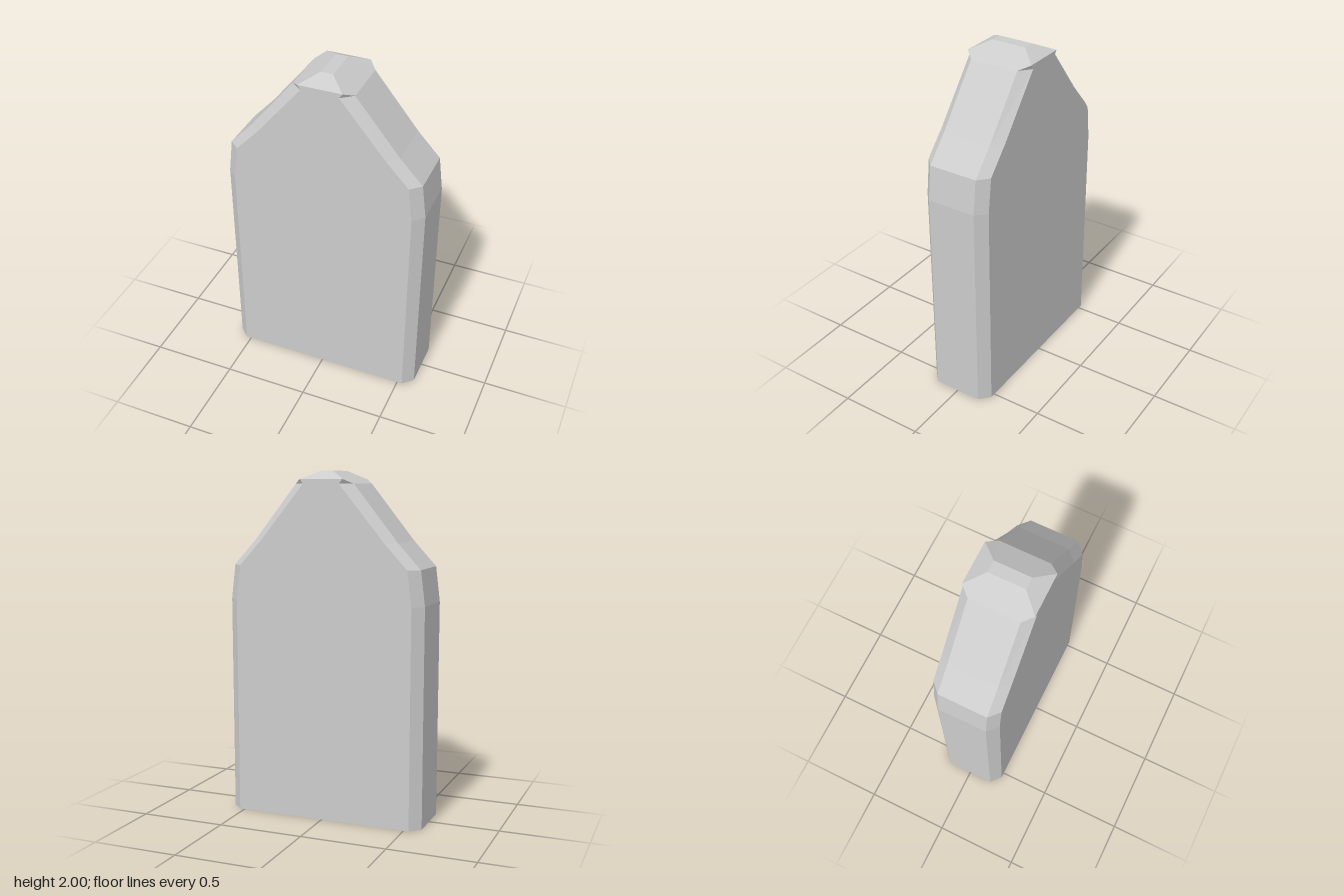
import * as THREE from 'three';

const DEPTH = 0.2, SIDE_DEPTH = 0.145;

// Eight-cornered section: inner corners edge the front/back faces, outer corners edge the sides
function section([outerX, outerY, innerX, innerY = outerY, innerZ = DEPTH, outerZ = SIDE_DEPTH]) {
  return [
    [innerX, innerY, innerZ], [outerX, outerY, outerZ],
    [outerX, outerY, -outerZ], [innerX, innerY, -innerZ],
    [-innerX, innerY, -innerZ], [-outerX, outerY, -outerZ],
    [-outerX, outerY, outerZ], [-innerX, innerY, innerZ],
  ].map((p) => new THREE.Vector3(...p));
}

// Skin the sections with flat faces and close both ends
function loft(sections) {
  const positions = [];
  const triangle = (a, b, c) => {
    if (new THREE.Triangle(a, b, c).getArea() < 1e-7) return;
    for (const p of [a, b, c]) positions.push(p.x, p.y, p.z);
  };
  for (let s = 0; s < sections.length - 1; s++) {
    const low = sections[s], high = sections[s + 1];
    for (let i = 0; i < 8; i++) {
      const j = (i + 1) % 8;
      triangle(low[i], low[j], high[j]);
      triangle(low[i], high[j], high[i]);
    }
  }
  const bottom = sections[0], top = sections[sections.length - 1];
  for (let i = 1; i < 7; i++) {
    triangle(bottom[0], bottom[i + 1], bottom[i]);
    triangle(top[0], top[i], top[i + 1]);
  }
  const geometry = new THREE.BufferGeometry();
  geometry.setAttribute('position', new THREE.Float32BufferAttribute(positions, 3));
  geometry.computeVertexNormals();
  return geometry;
}

export function createModel() {
  const model = new THREE.Group();
  model.name = 'pointedSlab';
  const material = new THREE.MeshStandardMaterial({ color: 0xcccccc, flatShading: true });

  const sections = [
    [0.59, 0, 0.53], // base
    [0.59, 1.265, 0.53], // end of the straight sides
    [0.565, 1.465, 0.505], // shoulder
    [0.433, 1.607, 0.372], // bend in the sloping sides
    [0.175, 1.927, 0.107], // end of the chamfers
    [0.175, 1.927, 0.127, 1.953], // notched rim of the hipped cap
    [0.035, 2, 0.035, 2, 0.105, 0.105], // small flat top
  ].map(section);

  const slab = new THREE.Mesh(loft(sections), material);
  slab.name = 'slabBody';
  model.add(slab);
  return model;
}
